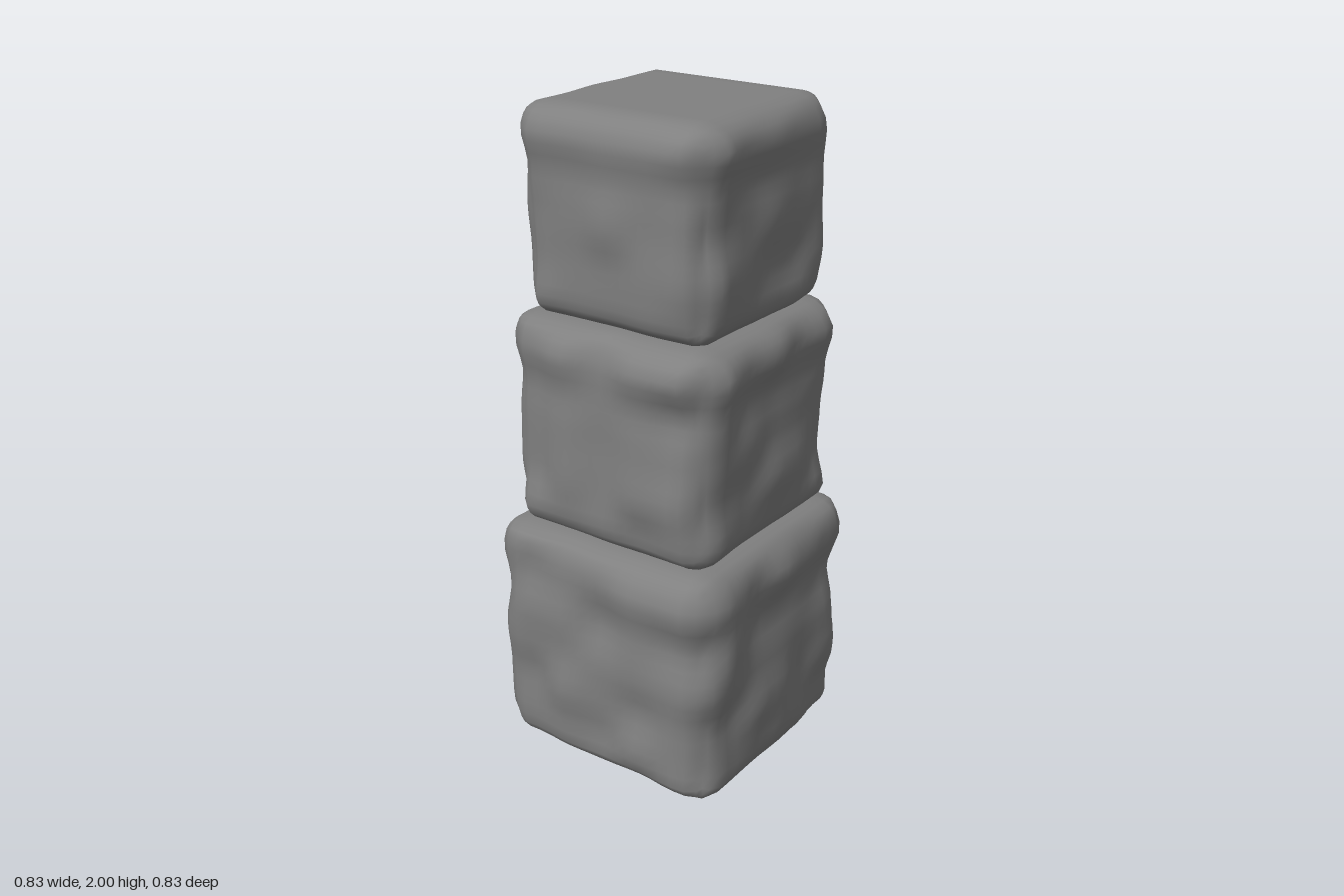
import * as THREE from 'three';
import { mergeVertices } from 'three/addons/utils/BufferGeometryUtils.js';

const RADIUS = 0.075;
const SEGMENTS = 18;
const CELL = 0.13;

// Repeatable value from -1 to 1 for a lattice point
function hash(x, y, z, seed) {
  const s = Math.sin(x * 127.1 + y * 311.7 + z * 74.7 + seed * 53.3) * 43758.5453;
  return 2 * (s - Math.floor(s)) - 1;
}

// Smooth blotchy bumps, blended between lattice points
function bumps(p, seed) {
  const base = p.clone().divideScalar(CELL).floor();
  const f = p.clone().divideScalar(CELL).sub(base);
  let sum = 0;
  for (let i = 0; i < 8; i++) {
    const [a, b, c] = [i & 1, (i >> 1) & 1, i >> 2];
    const weight = [[a, f.x], [b, f.y], [c, f.z]]
      .reduce((w, [side, v]) => w * (side ? THREE.MathUtils.smoothstep(v, 0, 1) : 1 - THREE.MathUtils.smoothstep(v, 0, 1)), 1);
    sum += weight * hash(base.x + a, base.y + b, base.z + c, seed);
  }
  return sum;
}

// Rough-hewn block: rounded edges, flat top and bottom, worn sides with a soft lip near the top
function stoneBlock(name, material, { half, height, y, cx, cz, seed }) {
  let geometry = new THREE.BoxGeometry(half * 2, height, half * 2, SEGMENTS, SEGMENTS, SEGMENTS);
  geometry.deleteAttribute('normal');
  geometry.deleteAttribute('uv');
  geometry = mergeVertices(geometry, 1e-4);

  const position = geometry.attributes.position;
  const core = new THREE.Vector3(half - RADIUS, height / 2 - RADIUS, half - RADIUS);
  const low = core.clone().negate();
  const p = new THREE.Vector3();
  const inner = new THREE.Vector3();
  const out = new THREE.Vector3();
  for (let i = 0; i < position.count; i++) {
    p.fromBufferAttribute(position, i);
    inner.copy(p).clamp(low, core);
    out.copy(p).sub(inner).normalize();
    p.copy(inner).addScaledVector(out, RADIUS);

    // Push the sides in and out and wear the upright corners, leaving the flat faces alone
    const t = p.y / height + 0.5;
    const lip = 0.011 * Math.exp(-(((t - 0.86) / 0.08) ** 2));
    const groove = 0.007 * Math.exp(-(((t - 0.7) / 0.09) ** 2));
    const corner = 0.04 * Math.abs(out.x * out.z);
    const push = lip - groove - corner + 0.022 * bumps(p, seed);
    p.x += out.x * push;
    p.z += out.z * push;
    position.setXYZ(i, p.x, p.y, p.z);
  }
  geometry.computeVertexNormals();

  const mesh = new THREE.Mesh(geometry, material);
  mesh.name = name;
  mesh.position.set(cx, y + height / 2, cz);
  return mesh;
}

export function createModel() {
  const group = new THREE.Group();
  group.name = 'stonePillar';
  const material = new THREE.MeshStandardMaterial({ color: 0x808080 });

  // Three stacked stones, each smaller than the one below
  group.add(
    stoneBlock('bottomStone', material, { half: 0.392, height: 0.74, y: 0, cx: 0.003, cz: 0.003, seed: 1 }),
    stoneBlock('middleStone', material, { half: 0.353, height: 0.655, y: 0.742, cx: 0.005, cz: 0.012, seed: 2 }),
    stoneBlock('topStone', material, { half: 0.323, height: 0.604, y: 1.396, cx: 0.012, cz: 0.008, seed: 4 }),
  );
  return group;
}
